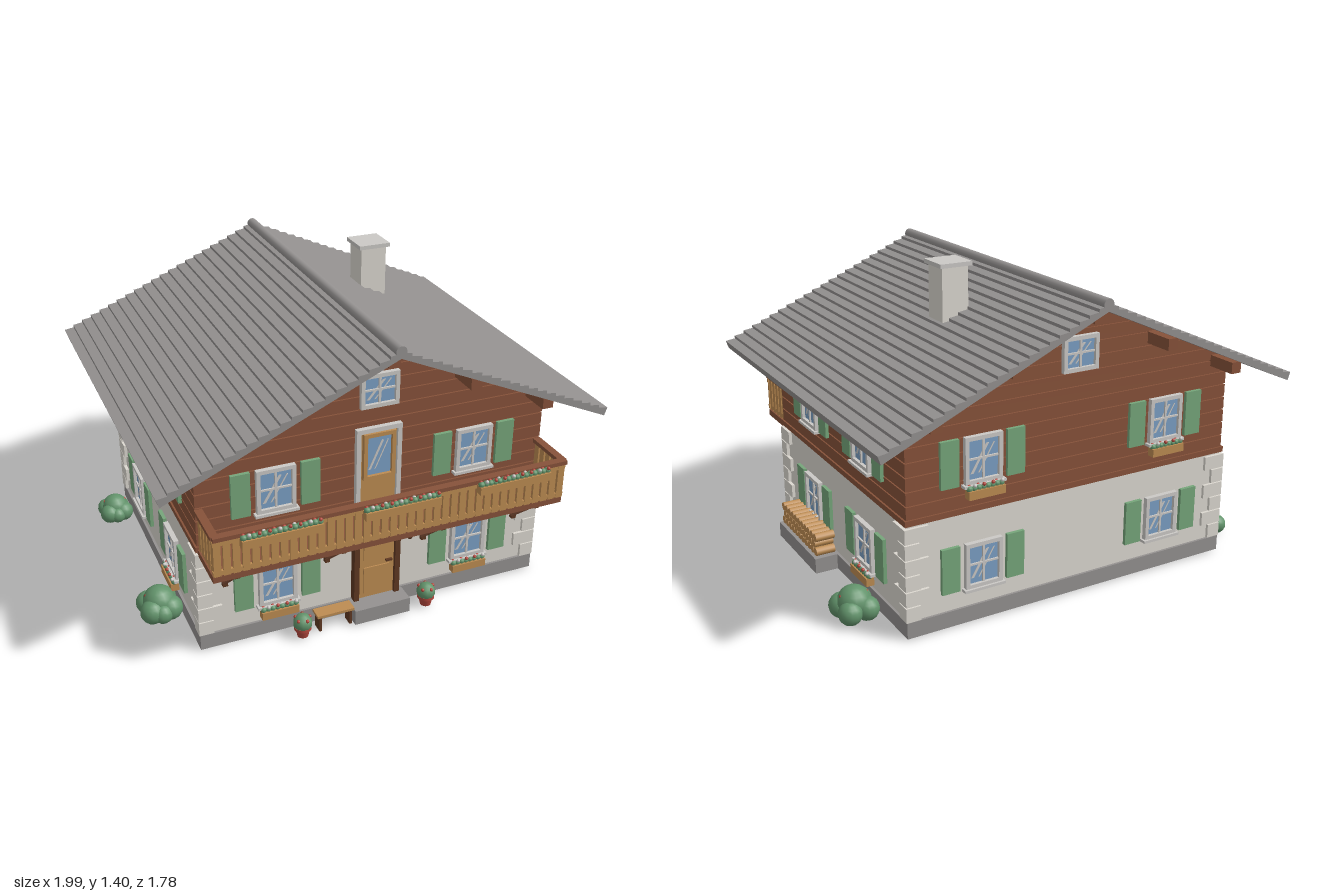
import * as THREE from 'three';

const mat = (name, color) => Object.assign(new THREE.MeshStandardMaterial({ color }), { name });
const M = {
  timber: mat('timber brown', 0x87523a), dark: mat('dark wood', 0x5f3822),
  honey: mat('honey wood', 0xbd8c52), shutter: mat('shutter green', 0x76a67b),
  leaf: mat('leaf green', 0x62936b), wall: mat('plaster white', 0xdcd8d0),
  grey: mat('stone grey', 0x949190), frame: mat('frame grey', 0xcbc9c6),
  glass: mat('window blue', 0x7b9fc4), red: mat('flower red', 0xb5483d),
};
// House half width, half depth and roof pitch
const HW = 0.79, HD = 0.665, PITCH = 0.44, UNDER = 1.28;

function add(parent, name, geo, material, x = 0, y = 0, z = 0) {
  const m = new THREE.Mesh(geo, material);
  m.name = name;
  m.position.set(x, y, z);
  parent.add(m);
  return m;
}
const box = (p, name, material, w, h, d, x, y, z) =>
  add(p, name, new THREE.BoxGeometry(w, h, d), material, x, y, z);
const ball = (p, name, material, r, x, y, z) =>
  add(p, name, new THREE.SphereGeometry(r, 10, 7), material, x, y, z);
function group(parent, name, x = 0, y = 0, z = 0, ry = 0) {
  const g = new THREE.Group();
  g.name = name;
  g.position.set(x, y, z);
  g.rotation.y = ry;
  parent.add(g);
  return g;
}
function prism(points, depth) {
  const s = new THREE.Shape(points.map(p => new THREE.Vector2(p[0], p[1])));
  return new THREE.ExtrudeGeometry(s, { depth, bevelEnabled: false }).translate(0, 0, -depth / 2);
}

// Planter with a row of leaves and blossoms; top edge at y = 0, back at z = 0
function flowerBox(parent, w, x, y, z) {
  const g = group(parent, 'flowerBox', x, y, z);
  box(g, 'planter', M.honey, w, 0.036, 0.036, 0, -0.018, 0.018);
  const n = Math.round(w / 0.021);
  for (let i = 0; i < n; i++) {
    const px = -w / 2 + (i + 0.5) * w / n;
    ball(g, 'leaves', M.leaf, 0.014, px, 0.006, 0.018);
    ball(g, 'blossom', i % 3 === 1 ? M.frame : M.red, 0.008, px, 0.015 + 0.004 * (i % 2), 0.018 + 0.009 * (i % 2 ? 1 : -0.5));
  }
}

// Glass with diagonal reflections, surround and glazing bars
function glazing(g, w, h, y = 0, bars = true, surround = M.frame) {
  box(g, 'glass', M.glass, w, h, 0.008, 0, y, 0.004);
  for (const [dx, t] of [[-0.2, 0.1], [0.05, 0.05]]) {
    const a = w * dx, b = w * t;
    const s = prism([[a - w * 0.22, -h * 0.36], [a - w * 0.22 + b, -h * 0.36], [a + w * 0.3 + b, h * 0.36], [a + w * 0.3, h * 0.36]], 0.002);
    add(g, 'reflection', s, M.frame, 0, y, 0.0085);
  }
  const f = 0.017;
  for (const s of [-1, 1]) {
    box(g, 'frameSide', surround, f, h + 2 * f, 0.022, s * (w + f) / 2, y, 0.011);
    box(g, 'frameRail', surround, w, f, 0.022, 0, y + s * (h + f) / 2, 0.011);
  }
  if (bars) {
    box(g, 'mullion', M.frame, 0.01, h, 0.015, 0, y, 0.0075);
    box(g, 'transom', M.frame, w, 0.008, 0.015, 0, y + h * 0.02, 0.0075);
  }
}
function shutteredWindow(parent, x, y, planted) {
  const g = group(parent, 'window', x, y, 0);
  glazing(g, 0.135, 0.165);
  box(g, 'sill', M.frame, 0.19, 0.012, 0.032, 0, -0.104, 0.016);
  for (const s of [-1, 1]) box(g, 'shutter', M.shutter, 0.082, 0.198, 0.016, s * 0.15, 0, 0.008);
  if (planted) flowerBox(g, 0.165, 0, -0.118, 0.01);
}

function bush(parent, r, x, z) {
  const g = group(parent, 'bush', x, 0, z);
  const lobes = [[0, 0.72, 0, 0.72], [0.4, 0.5, 0.35, 0.55], [-0.4, 0.52, 0.4, 0.55], [0.35, 0.48, -0.45, 0.52], [-0.42, 0.48, -0.4, 0.52], [0, 0.45, 0.6, 0.45]];
  for (const [a, b, c, s] of lobes) add(g, 'foliage', new THREE.SphereGeometry(s * r, 14, 10), M.leaf, a * r, b * r, c * r);
  for (let i = 0; i < 5; i++) {
    const t = i * 2.4;
    ball(g, 'berry', M.red, 0.008, Math.cos(t) * r * 0.55, r * 1.08, Math.sin(t) * r * 0.4);
  }
}
function flowerPot(parent, x, z) {
  const g = group(parent, 'flowerPot', x, 0, z);
  add(g, 'pot', new THREE.CylinderGeometry(0.034, 0.024, 0.045, 16), M.red, 0, 0.0225, 0);
  add(g, 'potRim', new THREE.CylinderGeometry(0.038, 0.038, 0.012, 16), M.red, 0, 0.043, 0);
  ball(g, 'plant', M.leaf, 0.042, 0, 0.066, 0);
  for (let i = 0; i < 5; i++) ball(g, 'blossom', M.red, 0.008, Math.cos(i * 1.26) * 0.032, 0.09, Math.sin(i * 1.26) * 0.032);
}

function buildBody(h) {
  box(h, 'plinth', M.grey, 2 * HW + 0.012, 0.07, 2 * HD + 0.012, 0, 0.037, 0);
  box(h, 'floor', M.dark, 2 * HW, 0.004, 2 * HD, 0, 0.002, 0);
  box(h, 'plasterWall', M.wall, 2 * HW - 0.01, 0.43, 2 * HD - 0.01, 0, 0.285, 0);
  box(h, 'timberSill', M.timber, 2 * HW + 0.01, 0.025, 2 * HD + 0.01, 0, 0.5, 0);
  // Corner stones alternate long and short
  for (const sx of [-1, 1]) for (const sz of [-1, 1]) for (let i = 0; i < 6; i++) {
    const w = i % 2 ? 0.105 : 0.065, d = i % 2 ? 0.105 : 0.065;
    box(h, 'cornerStone', M.wall, w, 0.063, d, sx * (HW + 0.01 - w / 2), 0.106 + i * 0.068, sz * (HD + 0.008 - d / 2));
  }
  // Timber storey: recessed core with a plank per row, clipped by the roof
  const half = (y, inset) => Math.min(HW - inset, (UNDER - y) / PITCH);
  const eave = UNDER - PITCH * (HW - 0.012);
  add(h, 'timberCore', prism([[-HW + 0.012, 0.5], [HW - 0.012, 0.5], [HW - 0.012, eave], [0, UNDER], [-HW + 0.012, eave]], 2 * HD - 0.02), M.timber);
  for (let y = 0.512; y < 1.24; y += 0.06) {
    const a = half(y, 0.003), b = half(y + 0.054, 0.003);
    add(h, 'plank', prism([[-a, y], [a, y], [b, y + 0.054], [-b, y + 0.054]], 2 * HD - 0.004), M.timber);
  }
}

function buildRoof(h) {
  // Stepped shingle courses down each slope
  const N = 22, X = 0.982, right = [];
  for (let i = 0; i < N; i++) {
    const x0 = X * i / N, x1 = X * (i + 1) / N;
    right.push([x0, 1.303 - PITCH * x0], [x1, 1.316 - PITCH * x1]);
  }
  const left = right.slice(1).reverse().map(([x, y]) => [-x, y]);
  const outline = [...right, [X - 0.012, UNDER - PITCH * X], [0, UNDER], [-X + 0.012, UNDER - PITCH * X], ...left];
  add(h, 'shingleRoof', prism(outline.reverse(), 1.71), M.grey);
  add(h, 'ridgeCap', new THREE.CylinderGeometry(0.024, 0.024, 1.71, 14).rotateX(Math.PI / 2), M.grey, 0, 1.308, 0);
  for (const x of [-0.72, -0.37, 0, 0.37, 0.72])
    box(h, 'purlin', M.timber, 0.05, 0.05, 1.6, x, UNDER - PITCH * Math.abs(x) - 0.034, 0);
  box(h, 'chimney', M.wall, 0.122, 0.28, 0.122, 0.325, 1.235, -0.165);
  box(h, 'chimneyCap', M.frame, 0.148, 0.018, 0.148, 0.325, 1.382, -0.165);
}

function buildBalcony(f) {
  const g = group(f, 'balcony'), D = 0.21, W = 0.785;
  box(g, 'balconyFloor', M.timber, 2 * W, 0.03, D, 0, 0.486, D / 2);
  // Railing: slim planks between two rails, front and both ends
  box(g, 'topRail', M.timber, 2 * W, 0.018, 0.034, 0, 0.675, D);
  box(g, 'bottomRail', M.honey, 2 * W, 0.02, 0.014, 0, 0.515, D - 0.002);
  box(g, 'upperRail', M.honey, 2 * W, 0.02, 0.014, 0, 0.65, D - 0.002);
  for (let i = 0; i < 40; i++)
    box(g, 'railPlank', M.honey, 0.03, 0.165, 0.012, -W + 0.018 + i * (2 * W - 0.036) / 39, 0.584, D);
  for (const s of [-1, 1]) {
    box(g, 'sideTopRail', M.timber, 0.034, 0.018, D, s * (W - 0.012), 0.675, D / 2);
    box(g, 'sideBottomRail', M.honey, 0.014, 0.02, D, s * (W - 0.014), 0.515, D / 2);
    for (let i = 0; i < 5; i++) box(g, 'sidePlank', M.honey, 0.012, 0.165, 0.03, s * (W - 0.012), 0.584, 0.02 + i * 0.042);
  }
  for (const x of [-0.51, 0.005, 0.52]) flowerBox(g, 0.335, x, 0.664, D + 0.012);
  // Braces to the wall
  for (const x of [-0.68, -0.227, 0.227, 0.68]) {
    box(g, 'bracketPost', M.dark, 0.022, 0.17, 0.02, x, 0.385, 0.01);
    box(g, 'bracketBeam', M.dark, 0.022, 0.022, 0.19, x, 0.464, 0.095);
    box(g, 'bracketBrace', M.timber, 0.022, 0.022, 0.225, x, 0.392, 0.09).rotation.x = -0.72;
  }
}

function buildDoors(f) {
  const d = group(f, 'frontDoor');
  for (const s of [-1, 1]) box(d, 'doorPost', M.dark, 0.024, 0.38, 0.035, s * 0.096, 0.26, 0.016);
  box(d, 'doorLintel', M.dark, 0.216, 0.024, 0.035, 0, 0.44, 0.016);
  box(d, 'doorLeaf', M.honey, 0.17, 0.36, 0.02, 0, 0.25, 0.008);
  for (const y of [0.16, 0.33]) box(d, 'doorPanel', M.honey, 0.12, 0.13, 0.008, 0, y, 0.02);
  box(d, 'doorHandle', M.dark, 0.03, 0.008, 0.012, 0.058, 0.245, 0.026);
  box(d, 'doorStep', M.grey, 0.26, 0.07, 0.1, 0, 0.035, 0.05);
  // Balcony door with tall glass
  const b = group(f, 'balconyDoor');
  box(b, 'doorLeaf', M.honey, 0.165, 0.39, 0.01, 0, 0.69, 0.005);
  for (const s of [-1, 1]) box(b, 'doorPost', M.frame, 0.02, 0.4, 0.024, s * 0.092, 0.7, 0.012);
  box(b, 'doorLintel', M.frame, 0.204, 0.02, 0.024, 0, 0.895, 0.012);
  glazing(group(b, 'doorGlass', 0, 0.775, 0.008), 0.11, 0.18, 0, false, M.honey);
  // Wall lantern
  const l = group(f, 'lantern', 0.15, 0.37, 0.035);
  box(l, 'lanternArm', M.dark, 0.01, 0.01, 0.035, 0, 0.04, -0.017);
  add(l, 'lanternRoof', new THREE.ConeGeometry(0.022, 0.022, 6), M.dark, 0, 0.034, 0);
  add(l, 'lanternGlass', new THREE.CylinderGeometry(0.017, 0.012, 0.045, 6), M.glass, 0, 0, 0);
  add(l, 'lanternBase', new THREE.CylinderGeometry(0.014, 0.01, 0.01, 6), M.dark, 0, -0.027, 0);
}

function buildGarden(h) {
  // Log stack on a stone slab
  box(h, 'woodSlab', M.grey, 0.12, 0.07, 0.45, HW + 0.05, 0.036, 0.26);
  for (let r = 0; r < 3; r++) for (let i = 0; i < 11 - (r % 2); i++)
    add(h, 'log', new THREE.CylinderGeometry(0.0195, 0.0195, 0.088, 12).rotateZ(Math.PI / 2), M.honey,
      HW + 0.05, 0.088 + r * 0.034, 0.073 + (i + (r % 2) / 2) * 0.039);
  bush(h, 0.1, 0.905, -0.395);
  bush(h, 0.1, -0.89, 0.365);
  bush(h, 0.085, -0.885, -0.49);
  flowerPot(h, -0.365, 0.738);
  flowerPot(h, 0.22, 0.738);
  // Bench beside the door
  box(h, 'benchSeat', M.honey, 0.17, 0.012, 0.06, -0.215, 0.077, 0.72);
  for (const s of [-1, 1]) box(h, 'benchLeg', M.dark, 0.012, 0.072, 0.05, -0.215 + s * 0.07, 0.036, 0.72);
}

export function createModel() {
  const root = new THREE.Group();
  root.name = 'chalet';
  const h = group(root, 'house', -0.01, 0, -0.035);
  buildBody(h);
  buildRoof(h);
  const front = group(h, 'frontFace', 0, 0, HD - 0.003);
  const back = group(h, 'backFace', 0, 0, -HD + 0.003, Math.PI);
  const leftSide = group(h, 'leftFace', HW - 0.004, 0, 0, Math.PI / 2);
  const rightSide = group(h, 'rightFace', -HW + 0.004, 0, 0, -Math.PI / 2);
  for (const s of [-1, 1]) {
    shutteredWindow(front, s * 0.45, 0.255, true);
    shutteredWindow(front, s * 0.45, 0.71, false);
    shutteredWindow(back, s * 0.45, 0.255, false);
    shutteredWindow(back, s * 0.45, 0.71, true);
    for (const side of [leftSide, rightSide]) {
      shutteredWindow(side, s * 0.28, 0.255, s > 0);
      shutteredWindow(side, s * 0.28, 0.705, false);
    }
  }
  for (const face of [front, back]) glazing(group(face, 'gableWindow', 0, 1.07, 0), 0.135, 0.115);
  buildBalcony(front);
  buildDoors(front);
  buildGarden(h);
  return root;
}
